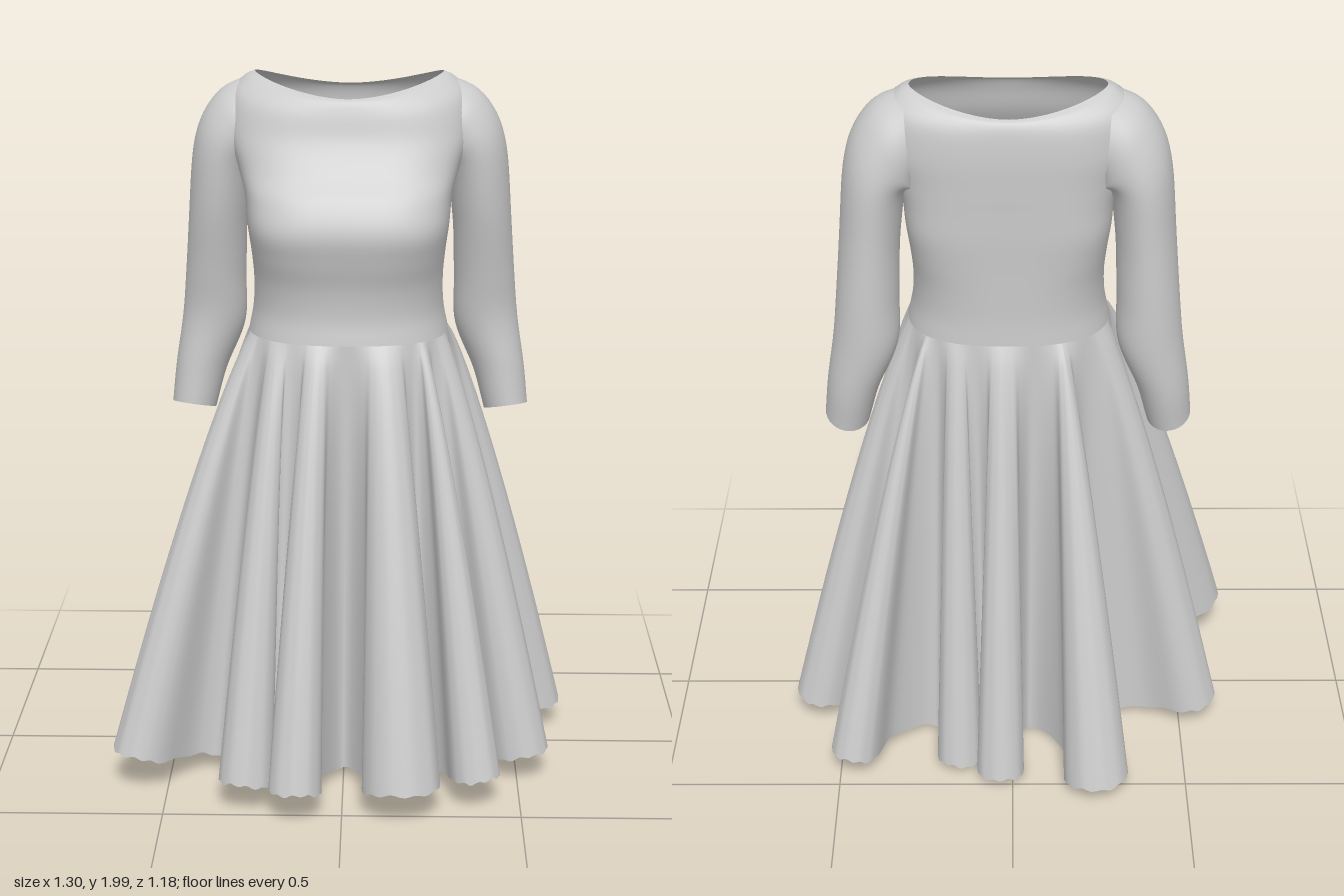
import * as THREE from 'three';

const V = (x, y, z) => new THREE.Vector3(x, y, z);
const cloth = new THREE.MeshStandardMaterial({ color: 0xcccccc, side: THREE.DoubleSide });

// Smooth interpolation through table rows, resampled to n + 1 rows
function smoothRows(rows, n) {
  const spline = new THREE.CubicInterpolant(rows.map((_, i) => i), rows.flat(), rows[0].length);
  return Array.from({ length: n + 1 }, (_, i) => Array.from(spline.evaluate((i / n) * (rows.length - 1))));
}

// Skin over closed rings that run from top to bottom
function loft(name, rings) {
  const n = rings[0].length, index = [];
  for (let i = 0; i < rings.length - 1; i++) {
    for (let j = 0; j < n; j++) {
      const a = i * n + j, b = i * n + ((j + 1) % n);
      index.push(a, b, a + n, b, b + n, a + n);
    }
  }
  const geometry = new THREE.BufferGeometry().setFromPoints(rings.flat());
  geometry.setIndex(index);
  geometry.computeVertexNormals();
  const mesh = new THREE.Mesh(geometry, cloth);
  mesh.name = name;
  return mesh;
}

// Bodice sections: height, shoulder rise, half width, front z, back z, middle z, roundness
const bodiceRows = [
  [1.945, 0.053, 0.262, 0.1, -0.2, -0.08, 1.12],
  [1.935, 0.05, 0.29, 0.112, -0.214, -0.08, 0.97],
  [1.9, 0.04, 0.328, 0.125, -0.224, -0.08, 0.8],
  [1.83, 0.01, 0.335, 0.145, -0.229, -0.06, 0.72],
  [1.75, 0, 0.308, 0.19, -0.228, -0.04, 0.66],
  [1.68, 0, 0.288, 0.244, -0.226, -0.03, 0.6],
  [1.6, 0, 0.28, 0.272, -0.224, -0.02, 0.57],
  [1.52, 0, 0.27, 0.258, -0.22, -0.01, 0.63],
  [1.44, 0, 0.264, 0.236, -0.217, 0, 0.72],
  [1.36, 0, 0.267, 0.228, -0.215, 0, 0.78],
  [1.29, 0, 0.28, 0.237, -0.217, 0, 0.8],
];

function sectionPoint([y, rise, w, front, back, mid, p], angle) {
  const c = Math.cos(angle), s = Math.sin(angle);
  const depth = s > 0 ? front - mid : mid - back;
  return V(
    Math.sign(c) * Math.abs(c) ** p * w + 0.01,
    y + rise * c * c,
    mid + Math.sign(s) * Math.abs(s) ** p * depth,
  );
}

function makeBodice() {
  const n = 120;
  return loft('bodice', smoothRows(bodiceRows, 50).map((row) =>
    Array.from({ length: n }, (_, j) => sectionPoint(row, (j / n) * Math.PI * 2))));
}

// Sleeve sections: centre x, y, z, tilt in degrees, radius across, radius in z
const sleeveRows = [
  [0.262, 1.85, -0.08, 85, 0.136, 0.125],
  [0.305, 1.825, -0.083, 57, 0.127, 0.131],
  [0.352, 1.755, -0.088, 20, 0.092, 0.134],
  [0.372, 1.6, -0.096, 4, 0.083, 0.124],
  [0.383, 1.42, -0.115, 4, 0.086, 0.106],
  [0.392, 1.28, -0.125, 6, 0.09, 0.093],
  [0.43, 1.14, -0.118, 6, 0.073, 0.086],
  [0.452, 1.025, -0.105, 8, 0.063, 0.078],
];

function makeSleeve(name, side) {
  const n = 48;
  return loft(name, smoothRows(sleeveRows, 50).map(([x, y, z, tilt, across, deep]) => {
    const phi = THREE.MathUtils.degToRad(tilt);
    return Array.from({ length: n }, (_, j) => {
      const a = side * (j / n) * Math.PI * 2;
      const r = across * Math.cos(a);
      const sag = 0.02 * Math.sin(a) * Math.cos(phi); // cuff hangs lower at the back
      return V(side * (x + r * Math.cos(phi)) + 0.012, y + r * Math.sin(phi) + sag, z + deep * Math.sin(a));
    });
  }));
}

// Skirt folds: hem centre x, z, radius, the valley x, z that follows, gathering at the waist
const folds = [
  [-0.24, -0.5, 0.093, -0.05, -0.235, 1],
  [0.035, -0.455, 0.068, 0.085, -0.27, 0.6],
  [0.155, -0.39, 0.064, 0.23, -0.235, 0.3],
  [0.46, -0.41, 0.066, 0.37, -0.17, 1],
  [0.575, -0.14, 0.072, 0.4, 0.04, 0.3],
  [0.51, 0.225, 0.08, 0.31, 0.2, 0.3],
  [0.375, 0.42, 0.068, 0.23, 0.27, 0.7],
  [0.165, 0.477, 0.11, 0, 0.25, 0.2],
  [-0.13, 0.512, 0.074, -0.19, 0.32, 0.4],
  [-0.27, 0.44, 0.076, -0.36, 0.23, 0.2],
  [-0.575, 0.31, 0.08, -0.37, 0.02, 0.3],
  [-0.53, -0.15, 0.08, -0.23, -0.2, 0.3],
];

function makeSkirt() {
  const count = folds.length, perFold = 48, rows = 40;
  const valley = (k) => V(folds[(k + count) % count][3], 0, folds[(k + count) % count][4]);

  // Hem outline: valley, neck, round end of the fold, neck
  const outline = [];
  folds.forEach(([x, z, r, , , gather], k) => {
    const from = valley(k - 1), to = valley(k), centre = V(x, 0, z);
    const base = from.clone().add(to).multiplyScalar(0.5);
    const out = centre.clone().sub(base).normalize();
    const across = V(-out.z, 0, out.x);
    const neck = base.clone().lerp(centre, 0.45);
    const neckWidth = r * (0.72 - 0.3 * gather);
    outline.push(from, neck.clone().addScaledVector(across, -neckWidth));
    for (let a = -90; a <= 90; a += 45) {
      const t = THREE.MathUtils.degToRad(a);
      outline.push(centre.clone().addScaledVector(across, r * Math.sin(t)).addScaledVector(out, r * Math.cos(t)));
    }
    outline.push(neck.clone().addScaledVector(across, neckWidth));
  });
  const hemCurve = new THREE.CatmullRomCurve3(outline, true);

  // Waist angle of every valley, increasing all the way round
  const angles = [];
  for (let k = -1; k < count; k++) {
    const v = valley(k);
    let a = Math.atan2(v.z / 0.225, v.x / 0.28);
    while (angles.length && a < angles[angles.length - 1]) a += Math.PI * 2;
    angles.push(a);
  }

  const n = count * perFold, waistRow = bodiceRows[bodiceRows.length - 1];
  const waist = [], hem = [];
  for (let j = 0; j < n; j++) {
    const k = Math.floor(j / perFold), f = (j % perFold) / perFold;
    const gathered = THREE.MathUtils.lerp(f, 0.5 + 4 * (f - 0.5) ** 3, folds[k][5]);
    waist.push(sectionPoint(waistRow, THREE.MathUtils.lerp(angles[k], angles[k + 1], gathered)));
    const p = hemCurve.getPoint(j / n);
    const ragged = 0.004 * Math.sin(j * 1.3) + 0.003 * Math.sin(j * 0.47);
    p.y = 0.012 + 0.18 * (p.x * p.x + p.z * p.z) + 0.05 * p.z + ragged;
    hem.push(p);
  }
  const rings = [];
  for (let i = 0; i <= rows; i++) {
    const t = i / rows, flare = t ** 0.81;
    rings.push(waist.map((w, j) => V(
      THREE.MathUtils.lerp(w.x, hem[j].x, flare),
      THREE.MathUtils.lerp(w.y, hem[j].y, t),
      THREE.MathUtils.lerp(w.z, hem[j].z, flare),
    )));
  }
  return loft('pleatedSkirt', rings);
}

export function createModel() {
  const dress = new THREE.Group();
  dress.name = 'dress';
  dress.add(makeBodice(), makeSleeve('leftSleeve', 1), makeSleeve('rightSleeve', -1), makeSkirt());
  return dress;
}
